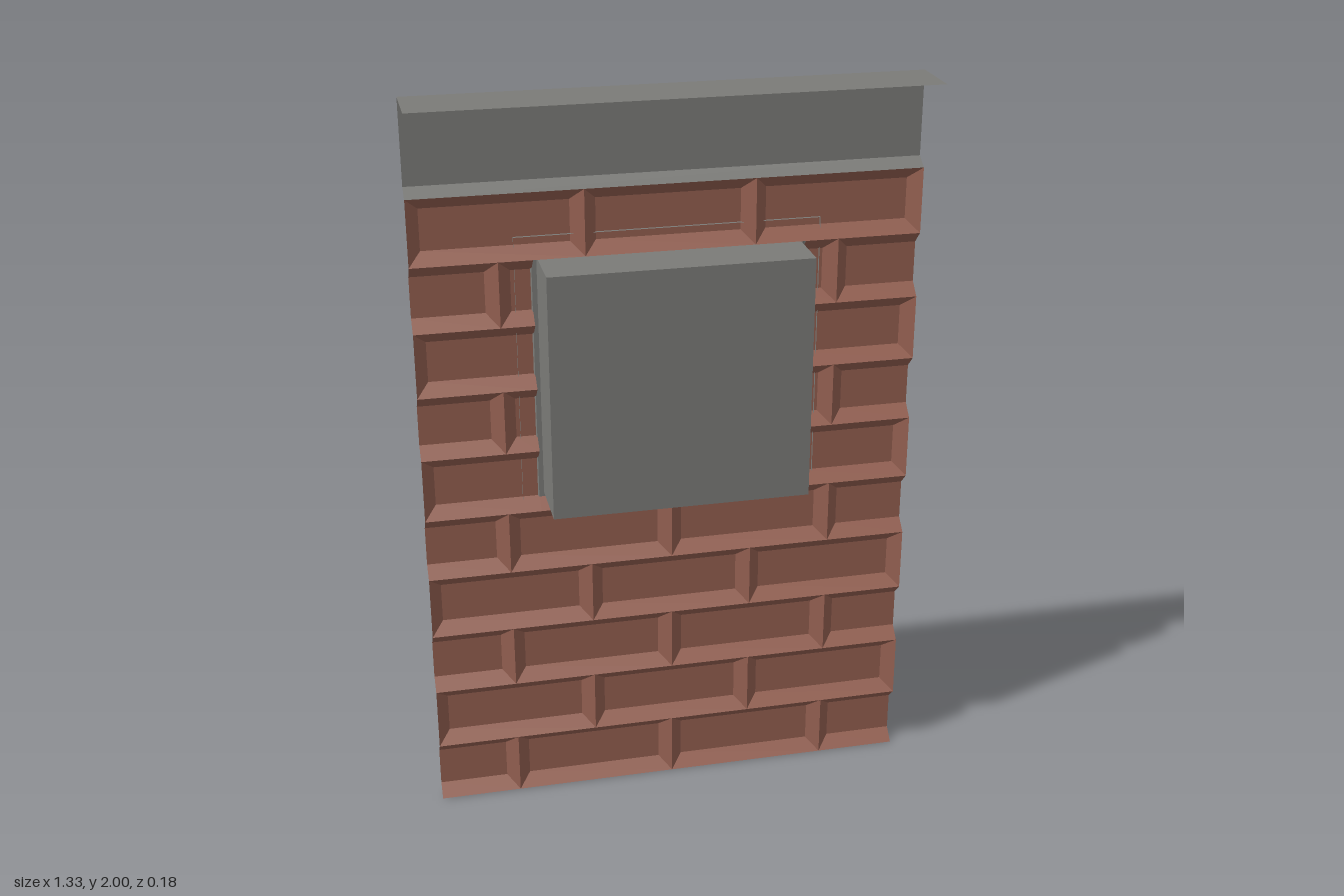
import * as THREE from 'three';

const W = 0.665;             // half width of the wall
const ROW = 0.1755;          // brick course height
const BEVEL = 0.033;
const Z_JOINT = -0.047, Z_FACE = -0.08;
const HOLE = 0.355;          // half width of the window opening
const WIN_Y = 1.249;         // window centre height

// Flat-shaded mesh from a list of four-cornered faces
function quadMesh(name, quads, material) {
  const pos = [];
  for (const [a, b, c, d] of quads) pos.push(...a, ...b, ...c, ...a, ...c, ...d);
  const geo = new THREE.BufferGeometry();
  geo.setAttribute('position', new THREE.Float32BufferAttribute(pos, 3));
  geo.computeVertexNormals();
  const mesh = new THREE.Mesh(geo, material);
  mesh.name = name;
  return mesh;
}

// Bevelled brick facing -z; cut ends have no bevel
function brick(x0, x1, y0, leftBevel, rightBevel, bottomOnly = false) {
  const y1 = y0 + ROW, yb = y0 + BEVEL, yt = y1 - BEVEL;
  const xl = x0 + (leftBevel ? BEVEL : 0), xr = x1 - (rightBevel ? BEVEL : 0);
  const o = [[x0, y0], [x0, y1], [x1, y1], [x1, y0]].map(p => [...p, Z_JOINT]);
  const f = [[xl, yb], [xl, yt], [xr, yt], [xr, yb]].map(p => [...p, Z_FACE]);
  const bottom = [o[3], o[0], f[0], f[3]];
  if (bottomOnly) return [bottom];
  const quads = [f, bottom, [o[1], o[2], f[2], f[1]]];
  if (leftBevel) quads.push([o[0], o[1], f[1], f[0]]);
  if (rightBevel) quads.push([o[2], o[3], f[3], f[2]]);
  return quads;
}

// Rectangular rings [halfWidth, halfHeight, z] joined in sequence
function rings(list) {
  const loops = list.map(([w, h, z]) =>
    [[-w, -h], [-w, h], [w, h], [w, -h]].map(([x, y]) => [x, WIN_Y + y, z]));
  const quads = [];
  for (let i = 0; i < loops.length - 1; i++)
    for (let k = 0; k < 4; k++) {
      const n = (k + 1) % 4;
      quads.push([loops[i][k], loops[i][n], loops[i + 1][n], loops[i + 1][k]]);
    }
  return { quads, last: loops[loops.length - 1] };
}

export function createModel() {
  const model = new THREE.Group();
  model.name = 'brickWallWithWindow';
  const brickMat = new THREE.MeshStandardMaterial({ color: 0x935f50, side: THREE.DoubleSide });
  brickMat.name = 'redBrick';
  const stoneMat = new THREE.MeshStandardMaterial({ color: 0x7b7b78, side: THREE.DoubleSide });
  stoneMat.name = 'greyStone';

  // Brick courses, staggered and cut around the window
  for (let r = 0; r < 10; r++) {
    const odd = r % 2 === 1, y = r * ROW, quads = [];
    const xs = odd ? [-W, -W / 3, W / 3, W] : [-W, -W * 2 / 3, 0, W * 2 / 3, W];
    const cut = r >= 5 && r <= 8;
    for (let i = 0; i < xs.length - 1; i++) {
      const a = xs[i], b = xs[i + 1];
      const bl = odd || i > 0, br = odd || i < xs.length - 2;
      const piece = (lo, hi, bottomOnly) => {
        const x0 = Math.max(a, lo), x1 = Math.min(b, hi);
        if (x1 - x0 > 0.01)
          quads.push(...brick(x0, x1, y, bl && x0 === a, br && x1 === b, bottomOnly));
      };
      if (!cut) piece(-W, W);
      else {
        piece(-W, -HOLE);
        piece(HOLE, W);
        if (r === 5) piece(-HOLE, HOLE, true); // ledge under the window
      }
    }
    model.add(quadMesh('brickCourse' + (r + 1), quads, brickMat));
  }

  // Coping: sloped lip, upright band and flat top
  const profile = [[10 * ROW, Z_JOINT], [1.778, -0.082], [2, -0.082], [2, 0.083]];
  const coping = profile.slice(1).map(([y1, z1], i) => {
    const [y0, z0] = profile[i];
    return [[-W, y0, z0], [-W, y1, z1], [W, y1, z1], [W, y0, z0]];
  });
  model.add(quadMesh('coping', coping, stoneMat));

  // Window surround with chamfered edges
  const frame = rings([
    [0.4, 0.384, -0.072], [0.4, 0.384, -0.082], [0.388, 0.372, -0.09],
    [0.364, 0.349, -0.09], [0.356, 0.341, -0.075], [0.343, 0.33, -0.075],
  ]);
  model.add(quadMesh('windowFrame', frame.quads, stoneMat));

  // Recessed box closed by the window pane
  const recess = rings([[0.343, 0.33, -0.075], [0.343, 0.33, 0.09]]);
  model.add(quadMesh('windowRecess', recess.quads, stoneMat));
  model.add(quadMesh('windowPane', [recess.last], stoneMat));

  // Crossing glazing bars with chamfered sections
  const section = new THREE.Shape([[-0.028, 0.045], [-0.028, 0.03], [-0.018, 0.018],
    [0.018, 0.018], [0.028, 0.03], [0.028, 0.045]].map(p => new THREE.Vector2(...p)));
  const bar = (name, length, turn) => {
    const geo = new THREE.ExtrudeGeometry(section, { depth: length, bevelEnabled: false });
    geo.translate(0, 0, -length / 2).rotateX(Math.PI / 2).scale(1, 1, -1);
    // the mirrored section needs its corner order reversed
    const p = geo.attributes.position;
    for (let i = 0; i < p.count; i++) p.setZ(i, Math.abs(p.getZ(i)));
    geo.computeVertexNormals();
    geo.rotateZ(turn);
    const mesh = new THREE.Mesh(geo, stoneMat);
    mesh.name = name;
    mesh.position.y = WIN_Y;
    model.add(mesh);
  };
  bar('verticalGlazingBar', 0.66, 0);
  bar('horizontalGlazingBar', 0.686, Math.PI / 2);

  return model;
}
